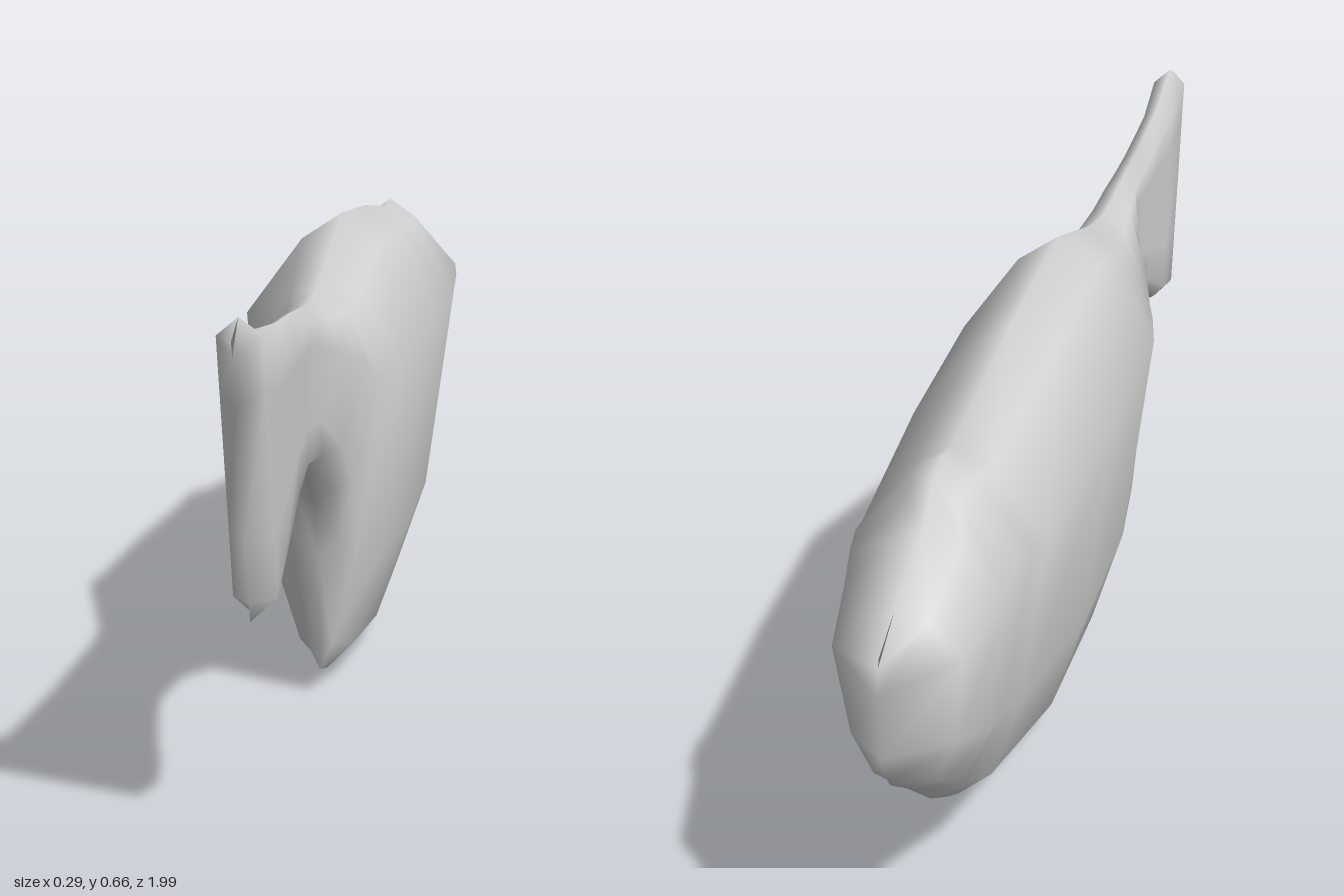
import * as THREE from 'three';
import { mergeVertices } from 'three/addons/utils/BufferGeometryUtils.js';

// Heights around a half ring, as a fraction from belly to back
const LEVELS = [0, 0.07, 0.29, 0.77, 0.94, 1];

// Slices from snout to tail: top z, top y, bottom z, bottom y,
// then the half widths at the four inner levels (one number where they are equal)
const HEAD = [
  [-0.98, 0.485, -0.95, 0.3, 0],
  [-0.91, 0.511, -0.88, 0.255, 0.04, 0.065, 0.08, 0.038],
  [-0.775, 0.555, -0.77, 0.175, 0.042, 0.08, 0.102, 0.045],
  // Raised bump on top of the head
  [-0.725, 0.597, -0.72, 0.147, 0.043, 0.082, 0.108, 0.03],
  [-0.68, 0.608, -0.68, 0.125, 0.044, 0.084, 0.114, 0.042],
];
const BODY = [
  [-0.63, 0.601, -0.63, 0.1, 0.045, 0.085, 0.12, 0.05],
  [-0.3, 0.64, -0.29, 0.01, 0.052, 0.1, 0.141, 0.058],
  [0, 0.663, 0, 0.003, 0.053, 0.1, 0.143, 0.06],
  [0.2, 0.61, 0.17, 0.015, 0.04, 0.08, 0.107, 0.048],
  [0.28, 0.592, 0.255, 0.037, 0.018, 0.05, 0.088, 0.042],
  [0.34, 0.584, 0.275, 0.21, 0.03, 0.05, 0.073, 0.036],
  [0.41, 0.585, 0.32, 0.3, 0.028, 0.044, 0.05, 0.03],
];
const TAIL = [
  [0.48, 0.592, 0.42, 0.372, 0.026],
  [0.55, 0.597, 0.54, 0.383, 0.023],
  [0.65, 0.602, 0.62, 0.36, 0.023],
  [0.83, 0.622, 0.78, 0.285, 0.024],
  [0.95, 0.655, 0.83, 0.273, 0.027],
  [1, 0.635, 0.88, 0.28, 0],
];

// Closed rings joined into one smooth skin, welded along the snout and tail edges
function loft(slices) {
  const positions = [];
  const index = [];
  const n = LEVELS.length * 2 - 2;
  slices.forEach(([zt, yt, zb, yb, ...widths], i) => {
    const inner = widths.length === 1 ? Array(4).fill(widths[0]) : widths;
    const w = [0, ...inner, 0];
    // The edge of the snout curves forward
    const bulge = i === 0 ? -0.03 : 0;
    for (let j = 0; j < n; j++) {
      const k = j < LEVELS.length ? j : n - j;
      const t = LEVELS[k];
      const side = j < LEVELS.length ? 1 : -1;
      positions.push(
        side * w[k],
        THREE.MathUtils.lerp(yb, yt, t),
        THREE.MathUtils.lerp(zb, zt, t) + bulge * 4 * t * (1 - t),
      );
    }
  });
  for (let i = 0; i < slices.length - 1; i++) {
    for (let j = 0; j < n; j++) {
      const a = i * n + j;
      const b = i * n + ((j + 1) % n);
      index.push(a, b, a + n, b, b + n, a + n);
    }
  }
  const geometry = new THREE.BufferGeometry();
  geometry.setAttribute('position', new THREE.Float32BufferAttribute(positions, 3));
  geometry.setIndex(index);
  const welded = mergeVertices(geometry, 1e-4);
  welded.computeVertexNormals();
  return welded;
}

export function createModel() {
  const model = new THREE.Group();
  model.name = 'fish';
  const grey = new THREE.MeshStandardMaterial({ color: 0xd4d4d4 });
  grey.name = 'lightGrey';

  // Head, body and tail fin in one skin
  const body = new THREE.Mesh(loft([...HEAD, ...BODY, ...TAIL]), grey);
  body.name = 'bodyAndTail';
  model.add(body);

  return model;
}
